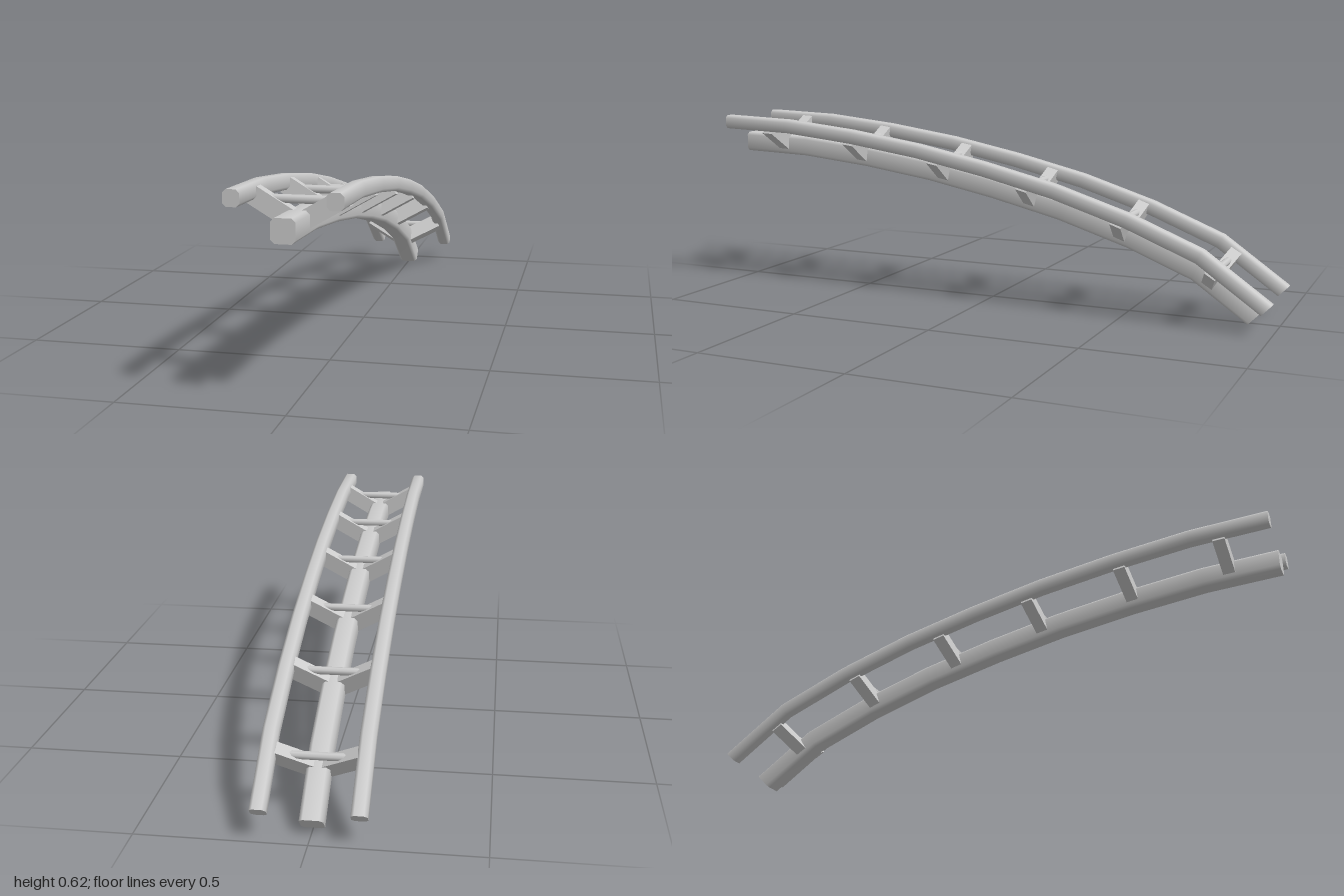
import * as THREE from 'three';

const material = new THREE.MeshStandardMaterial({ color: 0xcccccc });

// Track curve between the rails: z, y and downward pitch at each joint
const PATH = [
  [1, 0.595, 0.01], [0.74, 0.586, 0.07], [0.48, 0.559, 0.125],
  [0.22, 0.521, 0.172], [-0.03, 0.471, 0.218], [-0.28, 0.411, 0.275],
  [-0.53, 0.332, 0.35], [-0.77, 0.235, 0.5], [-0.983, 0.085, 0.78],
];
const RAIL_X = 0.142;
const SPINE_DROP = 0.083;

// Chamfered square swept along the path, shifted by x and by drop along the normal
function sweptBeam(name, x, drop, half, chamfer) {
  const h = half, f = half - chamfer;
  const ring = [[h, -f], [h, f], [f, h], [-f, h], [-h, f], [-h, -f], [-f, -h], [f, -h]];
  const n = ring.length;
  const pos = [], index = [];
  const addRing = ([z, y, a]) => {
    for (const [u, v] of ring) {
      const d = v - drop;
      pos.push(x + u, y + d * Math.cos(a), z - d * Math.sin(a));
    }
  };
  PATH.forEach(addRing);
  for (let i = 0; i < PATH.length - 1; i++) {
    for (let j = 0; j < n; j++) {
      const a = i * n + j, b = i * n + (j + 1) % n;
      index.push(a, a + n, b, a + n, b + n, b);
    }
  }
  // End caps use their own corners to keep a sharp rim
  const front = PATH.length * n, back = front + n;
  addRing(PATH[0]);
  addRing(PATH[PATH.length - 1]);
  for (let j = 1; j < n - 1; j++) {
    index.push(front, front + j, front + j + 1, back, back + j + 1, back + j);
  }
  const geo = new THREE.BufferGeometry();
  geo.setAttribute('position', new THREE.Float32BufferAttribute(pos, 3));
  geo.setIndex(index);
  geo.computeVertexNormals();
  const mesh = new THREE.Mesh(geo, material);
  mesh.name = name;
  return mesh;
}

// Height and pitch of the path at a given z
function frameAt(z) {
  let i = 0;
  while (i < PATH.length - 2 && PATH[i + 1][0] > z) i++;
  const [z0, y0, a0] = PATH[i], [z1, y1, a1] = PATH[i + 1];
  const t = (z - z0) / (z1 - z0);
  return { y: y0 + (y1 - y0) * t, pitch: a0 + (a1 - a0) * t };
}

// V-shaped tie: two arms from the spine to the rails and a thin crossbar
function createTie(z) {
  const tie = new THREE.Group();
  tie.name = 'tie';
  const slope = Math.atan2(SPINE_DROP, RAIL_X);
  const length = 0.155;
  for (const side of [-1, 1]) {
    const arm = new THREE.Mesh(new THREE.BoxGeometry(length, 0.055, 0.04), material);
    arm.name = side > 0 ? 'leftArm' : 'rightArm';
    arm.position.set(side * Math.cos(slope) * length / 2,
      -SPINE_DROP - 0.004 + Math.sin(slope) * length / 2, 0);
    arm.rotation.z = side * slope;
    tie.add(arm);
  }
  const bar = new THREE.Mesh(new THREE.CylinderGeometry(0.0125, 0.0125, 0.2, 8), material);
  bar.name = 'crossbar';
  bar.rotation.z = Math.PI / 2;
  bar.position.y = -0.02;
  tie.add(bar);

  const { y, pitch } = frameAt(z);
  tie.position.set(0, y, z);
  tie.rotation.x = -pitch;
  return tie;
}

export function createModel() {
  const model = new THREE.Group();
  model.name = 'curvedTrack';
  model.add(
    sweptBeam('leftRail', RAIL_X, 0, 0.024, 0.01),
    sweptBeam('rightRail', -RAIL_X, 0, 0.024, 0.01),
    sweptBeam('spine', 0, SPINE_DROP, 0.035, 0.011),
  );
  for (const z of [0.832, 0.493, 0.16, -0.172, -0.503, -0.82]) model.add(createTie(z));
  return model;
}
